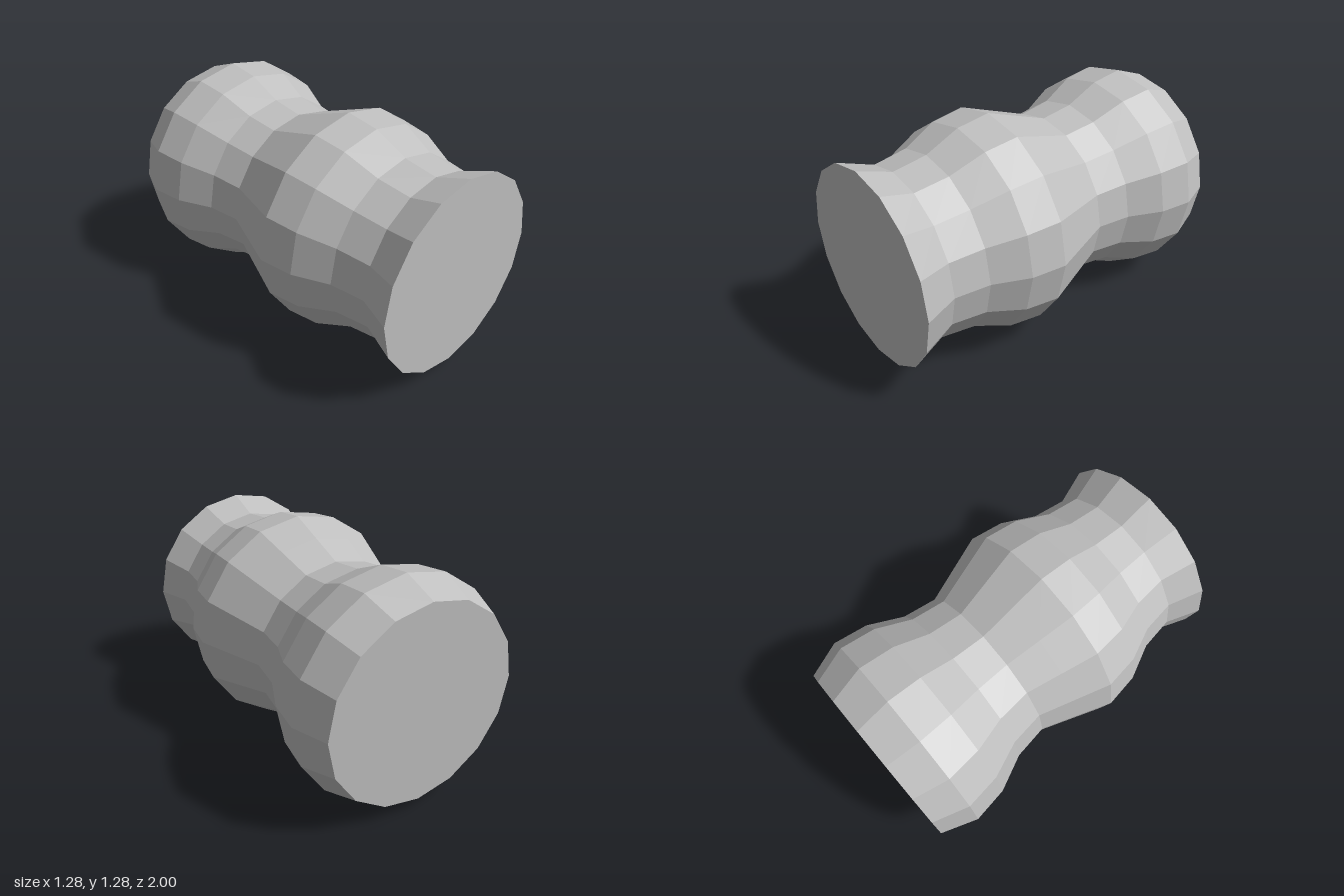
import * as THREE from 'three';

export function createModel() {
  const group = new THREE.Group();
  const grey = new THREE.MeshStandardMaterial({ color: 0xbfbfbf });
  grey.name = 'grey';
  grey.flatShading = true;

  // Wavy profile: two full sine waves along the length, closed by flat end caps
  const steps = 10;
  const profile = [new THREE.Vector2(0, -1)];
  for (let i = 0; i <= steps; i++) {
    const z = -1 + (2 * i) / steps;
    profile.push(new THREE.Vector2(0.567 + 0.077 * Math.sin(2 * Math.PI * z), z));
  }
  profile.push(new THREE.Vector2(0, 1));

  // Sixteen-sided body lying along z
  const geometry = new THREE.LatheGeometry(profile, 16);
  geometry.rotateX(Math.PI / 2);
  const body = new THREE.Mesh(geometry, grey);
  body.name = 'wavyCylinder';
  body.position.y = 0.641;
  group.add(body);
  return group;
}
